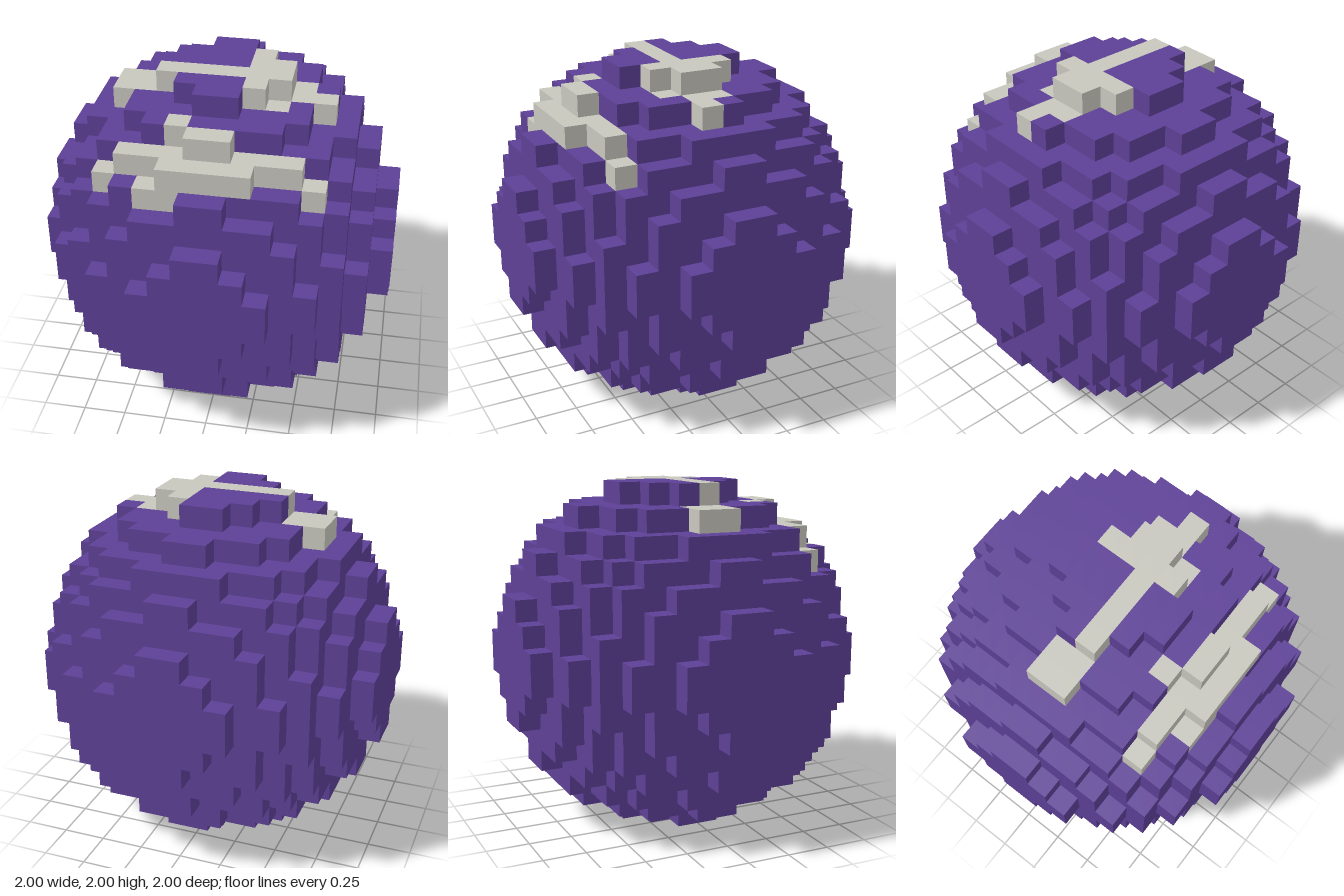
import * as THREE from 'three';
import { mergeGeometries } from 'three/addons/utils/BufferGeometryUtils.js';

const CELL = 0.125;
const HALF = 8; // ball radius in cells

// A cell belongs to the ball when its centre lies within the radius
const filled = (i, j, k) =>
  (i + 0.5) ** 2 + (j + 0.5) ** 2 + (k + 0.5) ** 2 <= HALF * HALF;

// Pale marks on the upper surface: [z row, first x cell, last x cell]
const MARKS = [
  [-2, 1, 1], [-1, -5, -4], [-1, 1, 3], [0, -5, 4], [1, 1, 2],
  [3, -2, -2], [4, -5, 4], [5, -3, 1],
];

function isMark(i, j, k) {
  if (j < 0) return false;
  if (i === -2 && j === 4 && k === 5) return true; // one cell dripping down the front
  return !filled(i, j + 1, k) && MARKS.some(([z, a, b]) => z === k && i >= a && i <= b);
}

// One outward cell face for each of the six directions
const FACES = [
  [1, 0, 0], [-1, 0, 0], [0, 1, 0], [0, -1, 0], [0, 0, 1], [0, 0, -1],
].map((dir) => {
  const n = new THREE.Vector3(...dir);
  const turn = new THREE.Quaternion().setFromUnitVectors(new THREE.Vector3(0, 0, 1), n);
  const geometry = new THREE.PlaneGeometry(CELL, CELL)
    .applyQuaternion(turn)
    .translate(n.x * CELL / 2, n.y * CELL / 2, n.z * CELL / 2);
  return { dir, geometry };
});

// Gather the exposed faces of all cells that pass the test
function surface(test) {
  const parts = [];
  for (let i = -HALF; i < HALF; i++)
    for (let j = -HALF; j < HALF; j++)
      for (let k = -HALF; k < HALF; k++) {
        if (!filled(i, j, k) || !test(i, j, k)) continue;
        for (const { dir: [dx, dy, dz], geometry } of FACES) {
          if (filled(i + dx, j + dy, k + dz)) continue;
          parts.push(geometry.clone().translate(
            (i + 0.5) * CELL, (j + 0.5) * CELL + 1, (k + 0.5) * CELL));
        }
      }
  return mergeGeometries(parts);
}

export function createModel() {
  const purple = new THREE.MeshStandardMaterial({ color: 0x5d4096 });
  purple.name = 'purple';
  const paleGrey = new THREE.MeshStandardMaterial({ color: 0xc8c7be });
  paleGrey.name = 'paleGrey';

  const group = new THREE.Group();
  group.name = 'blockBall';

  // Purple body of the ball
  const ball = new THREE.Mesh(surface((i, j, k) => !isMark(i, j, k)), purple);
  ball.name = 'ball';

  // Pale cells across the top and upper front
  const marks = new THREE.Mesh(surface(isMark), paleGrey);
  marks.name = 'topMarks';

  group.add(ball, marks);
  return group;
}
